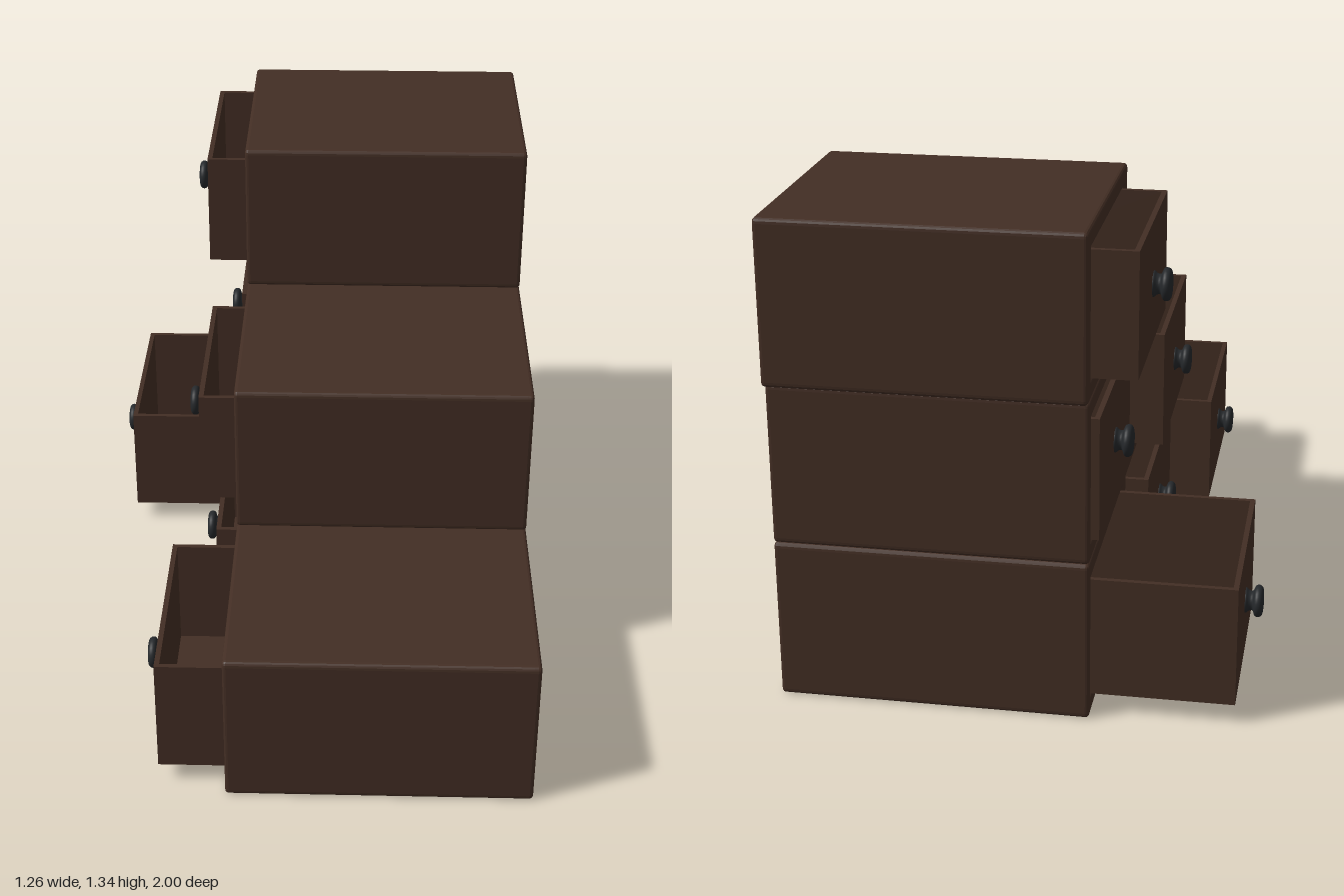
import * as THREE from 'three';

const wood = new THREE.MeshStandardMaterial({ name: 'dark brown wood', color: 0x432e24 });
const iron = new THREE.MeshStandardMaterial({ name: 'black iron', color: 0x25282b });

const FACE = -0.205, BACK = 0.63, BEVEL = 0.01;

// Each tier: its extent, and its drawers as [z0, z1, x of the drawer front]
const tiers = [
  { y0: 0, y1: 0.446, z0: -0.97, z1: 1, drawers: [[-0.93, -0.36, -0.585], [-0.275, 0.29, -0.27], [0.37, 0.945, -0.39]] },
  { y0: 0.446, y1: 0.891, z0: -0.97, z1: 0.36, drawers: [[-0.93, -0.36, -0.225], [-0.275, 0.29, -0.31]] },
  { y0: 0.891, y1: 1.336, z0: -1, z1: -0.305, drawers: [[-0.94, -0.37, -0.322]] },
];

function rectPath(Type, z0, z1, y0, y1, r) {
  const p = new Type();
  p.moveTo(z0 + r, y0);
  p.lineTo(z1 - r, y0);
  p.quadraticCurveTo(z1, y0, z1, y0 + r);
  p.lineTo(z1, y1 - r);
  p.quadraticCurveTo(z1, y1, z1 - r, y1);
  p.lineTo(z0 + r, y1);
  p.quadraticCurveTo(z0, y1, z0, y1 - r);
  p.lineTo(z0, y0 + r);
  p.quadraticCurveTo(z0, y0, z0 + r, y0);
  return p;
}

// Extrude a z-y outline along x, with softened end edges
function slab(shape, x0, x1) {
  const g = new THREE.ExtrudeGeometry(shape, {
    depth: x1 - x0 - 2 * BEVEL, bevelEnabled: true, bevelThickness: BEVEL,
    bevelSize: BEVEL, bevelOffset: -BEVEL, bevelSegments: 3, curveSegments: 4,
  });
  g.rotateY(-Math.PI / 2);
  g.translate(x1 - BEVEL, 0, 0);
  return g;
}

function add(group, name, geometry, material) {
  const mesh = new THREE.Mesh(geometry, material);
  mesh.name = name;
  group.add(mesh);
  return mesh;
}

function board(group, name, x0, x1, y0, y1, z0, z1) {
  add(group, name, new THREE.BoxGeometry(x1 - x0, y1 - y0, z1 - z0), wood)
    .position.set((x0 + x1) / 2, (y0 + y1) / 2, (z0 + z1) / 2);
}

// Round pull: base, waist, wide rim and domed end
const knobGeometry = new THREE.LatheGeometry(
  new THREE.SplineCurve([
    [0.034, -0.002], [0.034, 0.003], [0.028, 0.01], [0.027, 0.02], [0.04, 0.026],
    [0.044, 0.034], [0.041, 0.043], [0.03, 0.048], [0, 0.05],
  ].map(([r, h]) => new THREE.Vector2(r, h))).getPoints(24), 28);

// Open-topped box with a knob
function makeDrawer(y0, y1, z0, z1, front) {
  const g = new THREE.Group();
  g.name = 'drawer';
  const t = 0.014, rear = front + 0.8;
  board(g, 'drawerFront', front, front + t, y0, y1, z0, z1);
  board(g, 'drawerRear', rear - t, rear, y0, y1, z0, z1);
  board(g, 'drawerSide', front + t, rear - t, y0, y1, z0, z0 + t);
  board(g, 'drawerSide', front + t, rear - t, y0, y1, z1 - t, z1);
  board(g, 'drawerFloor', front + t, rear - t, y0, y0 + t, z0 + t, z1 - t);
  const knob = add(g, 'knob', knobGeometry, iron);
  knob.rotation.z = Math.PI / 2;
  knob.position.set(front, (y0 + y1) / 2 - 0.005, (z0 + z1) / 2);
  return g;
}

export function createModel() {
  const model = new THREE.Group();
  model.name = 'steppedDrawerChest';
  for (const { y0, y1, z0, z1, drawers } of tiers) {
    const tier = new THREE.Group();
    tier.name = 'tier';
    model.add(tier);
    const low = y0 + 0.055, high = y0 + 0.388, gap = 0.005;

    // Hollow carcass with a hole for each drawer, closed by a back panel
    const shell = rectPath(THREE.Shape, z0, z1, y0, y1, 0.015);
    for (const [a, b] of drawers) {
      shell.holes.push(rectPath(THREE.Path, a - gap, b + gap, low - gap, high + gap, 0.002));
    }
    add(tier, 'carcass', slab(shell, FACE, BACK - 0.01), wood);
    add(tier, 'backPanel', slab(rectPath(THREE.Shape, z0, z1, y0, y1, 0.015), BACK - 0.04, BACK), wood);

    for (const [a, b, front] of drawers) {
      const drawer = makeDrawer(low, high, a, b, front);
      // Shorten nearly closed drawers so their rear stays inside
      const limit = (BACK - 0.045 - front) / 0.8;
      if (limit < 1) {
        for (const part of drawer.children) {
          if (part.name === 'knob') continue;
          part.position.x = front + (part.position.x - front) * limit;
          part.scale.x = limit;
        }
      }
      tier.add(drawer);
    }
  }
  return model;
}
